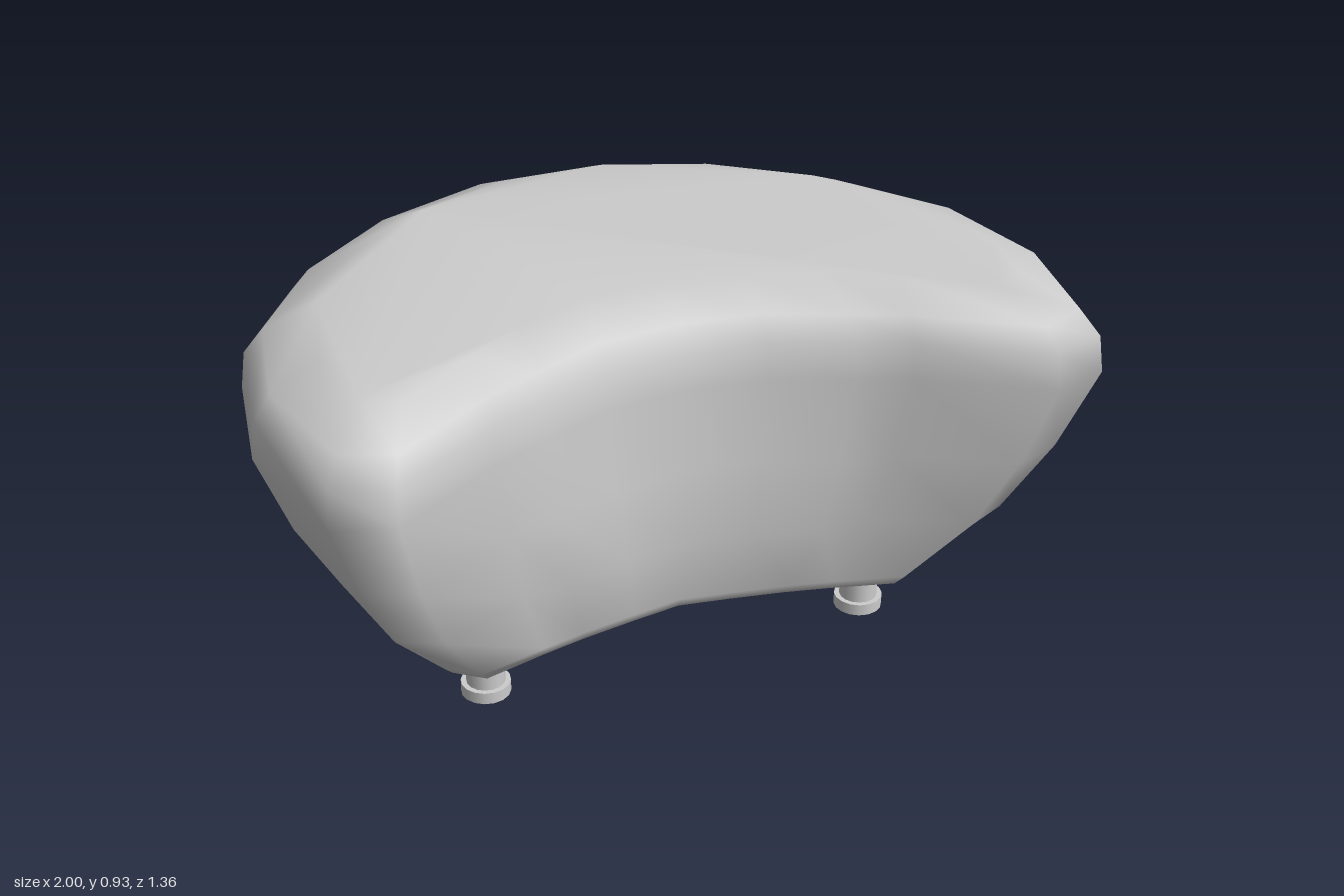
import * as THREE from 'three';

// Half outlines [x, z] from the back, round the side and tip, to the front centre
const BASE = [[.1, -.35], [.28, -.29], [.43, -.17], [.56, 0], [.64, .2], [.62, .39], [.55, .445], [.38, .4], [.27, .375], [.13, .35], [0, .33]];
const WIDE = [[.17, -.68], [.49, -.55], [.75, -.33], [.94, -.05], [1, .28], [.93, .63], [.79, .675], [.51, .5], [.38, .45], [.2, .37], [0, .35]];
const TOP = [[.13, -.505], [.38, -.41], [.6, -.24], [.76, -.02], [.83, .25], [.8, .45], [.72, .505], [.53, .37], [.37, .27], [.19, .2], [0, .18]];

// Levels: height, from outline, to outline, blend, scale, bulge of the hollow front
const LEVELS = [
  [.12, BASE, WIDE, 0, .965, 0],
  [.145, BASE, WIDE, 0, 1, 0],
  [.33, BASE, WIDE, .47, 1, .035],
  [.52, BASE, WIDE, .77, 1, .015],
  [.73, BASE, WIDE, 1, 1, 0],
  [.82, WIDE, TOP, .06, 1, 0],
  [.875, WIDE, TOP, .31, 1, 0],
  [.93, WIDE, TOP, 1, 1, 0],
];

// Full mirrored ring of points at one level
function ring([, from, to, t, scale, bulge]) {
  const half = from.map(([x, z], i) => [
    THREE.MathUtils.lerp(x, to[i][0], t) * scale,
    THREE.MathUtils.lerp(z, to[i][1], t) * scale + (i > 7 ? bulge : 0),
  ]);
  return [...half, ...half.slice(0, -1).reverse().map(([x, z]) => [-x, z])];
}

// Skin the rings and close both ends
function cushionGeometry() {
  const rings = LEVELS.map(ring);
  const n = rings[0].length;
  const positions = [];
  const index = [];
  rings.forEach((r, j) => r.forEach(([x, z]) => positions.push(x, LEVELS[j][0], z)));
  for (let j = 0; j < rings.length - 1; j++) {
    for (let i = 0; i < n; i++) {
      const a = j * n + i, b = j * n + (i + 1) % n;
      index.push(a, a + n, b + n, a, b + n, b);
    }
  }
  const cap = (j, up) => {
    const pts = rings[j].map(([x, z]) => new THREE.Vector2(x, z));
    for (const [a, b, c] of THREE.ShapeUtils.triangulateShape(pts, [])) {
      const ccw = THREE.ShapeUtils.area([pts[a], pts[b], pts[c]]) > 0;
      const o = j * n;
      if (ccw === up) index.push(o + a, o + c, o + b);
      else index.push(o + a, o + b, o + c);
    }
  };
  cap(0, false);
  cap(rings.length - 1, true);
  const geometry = new THREE.BufferGeometry();
  geometry.setAttribute('position', new THREE.Float32BufferAttribute(positions, 3));
  geometry.setIndex(index);
  geometry.computeVertexNormals();
  return geometry;
}

export function createModel() {
  const model = new THREE.Group();
  model.name = 'crescentPouf';
  const grey = new THREE.MeshStandardMaterial({ color: 0xcccccc });
  grey.name = 'light grey';

  const add = (parent, name, geometry, y = 0) => {
    const mesh = new THREE.Mesh(geometry, grey);
    mesh.name = name;
    mesh.position.y = y;
    parent.add(mesh);
  };

  add(model, 'cushion', cushionGeometry());

  // Four short legs, each a post on a wider foot
  const post = new THREE.CylinderGeometry(.047, .047, .1, 16);
  const foot = new THREE.CylinderGeometry(.06, .06, .03, 16);
  for (const [name, x, z] of [['front', .495, .31], ['back', .285, -.14]]) {
    for (const side of [1, -1]) {
      const leg = new THREE.Group();
      leg.name = name + (side > 0 ? 'LeftLeg' : 'RightLeg');
      leg.position.set(side * x, 0, z);
      add(leg, 'post', post, .08);
      add(leg, 'foot', foot, .015);
      model.add(leg);
    }
  }
  return model;
}
